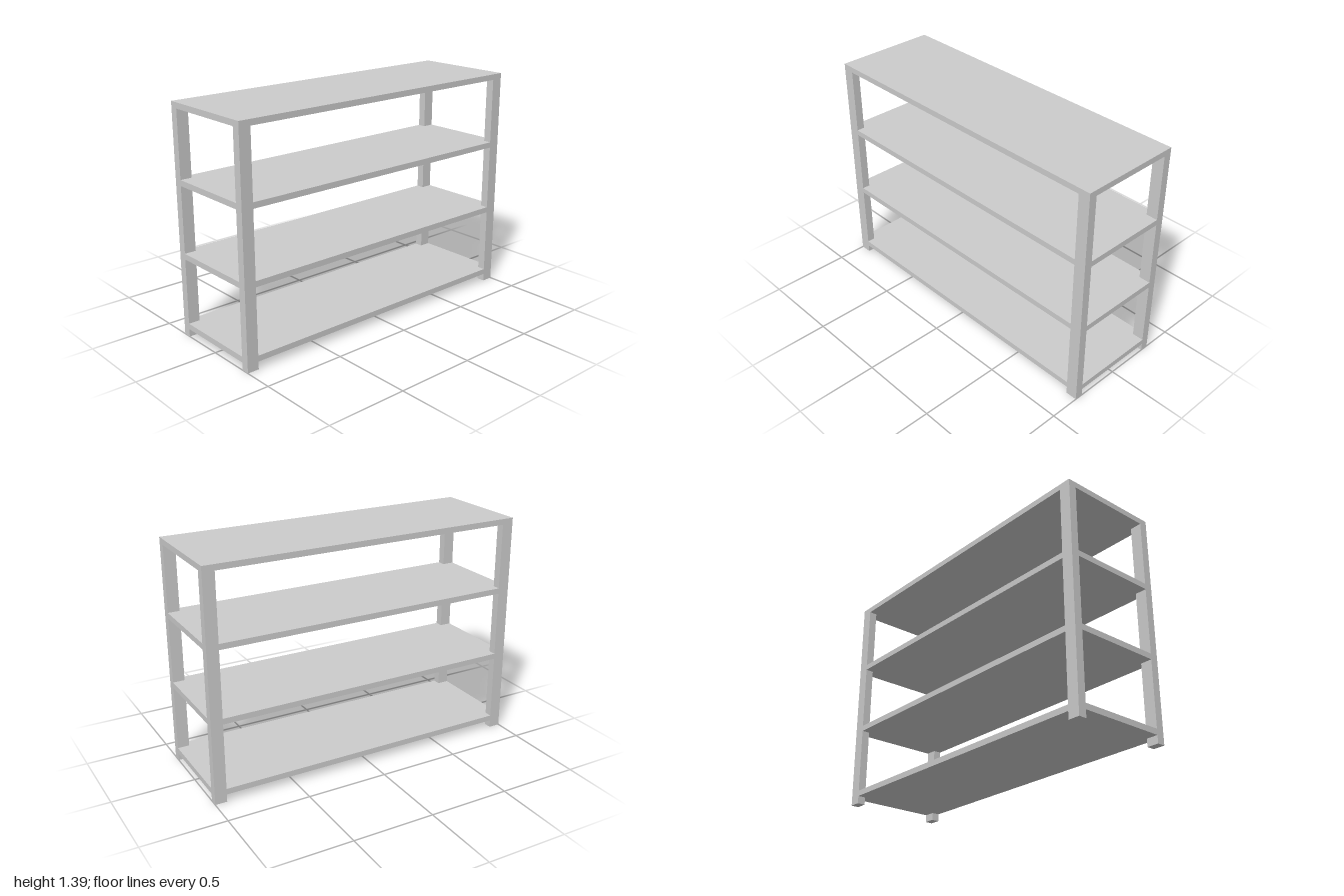
import * as THREE from 'three';

const W = 1, D = 0.318, H = 1.395;      // half width, half depth, height
const PX = 0.072, PZ = 0.05, T = 0.035; // post width, post depth, board thickness

export function createModel() {
  const model = new THREE.Group();
  model.name = 'shelvingUnit';
  const material = new THREE.MeshStandardMaterial({ color: 0xcccccc });

  // Four corner posts, full height
  const postGeometry = new THREE.BoxGeometry(PX, H, PZ);
  for (const [z, end] of [[1, 'front'], [-1, 'back']]) {
    for (const [x, side] of [[1, 'Left'], [-1, 'Right']]) {
      const post = new THREE.Mesh(postGeometry, material);
      post.name = `${end}${side}Post`;
      post.position.set(x * (W - PX / 2), H / 2, z * (D - PZ / 2));
      model.add(post);
    }
  }

  // Shelf board with its corners notched around the posts
  const ix = W - PX, iz = D - PZ;
  const outline = [
    [ix, -D], [ix, -iz], [W, -iz], [W, iz], [ix, iz], [ix, D],
    [-ix, D], [-ix, iz], [-W, iz], [-W, -iz], [-ix, -iz], [-ix, -D],
  ].map(([x, z]) => new THREE.Vector2(x, z));
  const boardGeometry = new THREE.ExtrudeGeometry(new THREE.Shape(outline), { depth: T, bevelEnabled: false });
  boardGeometry.rotateX(-Math.PI / 2);

  // Evenly spaced boards, the last one flush with the post tops
  const first = 0.047, step = (H - T - first) / 3;
  ['bottomShelf', 'lowerShelf', 'upperShelf', 'topBoard'].forEach((name, i) => {
    const board = new THREE.Mesh(boardGeometry, material);
    board.name = name;
    board.position.y = first + i * step;
    model.add(board);
  });

  return model;
}
